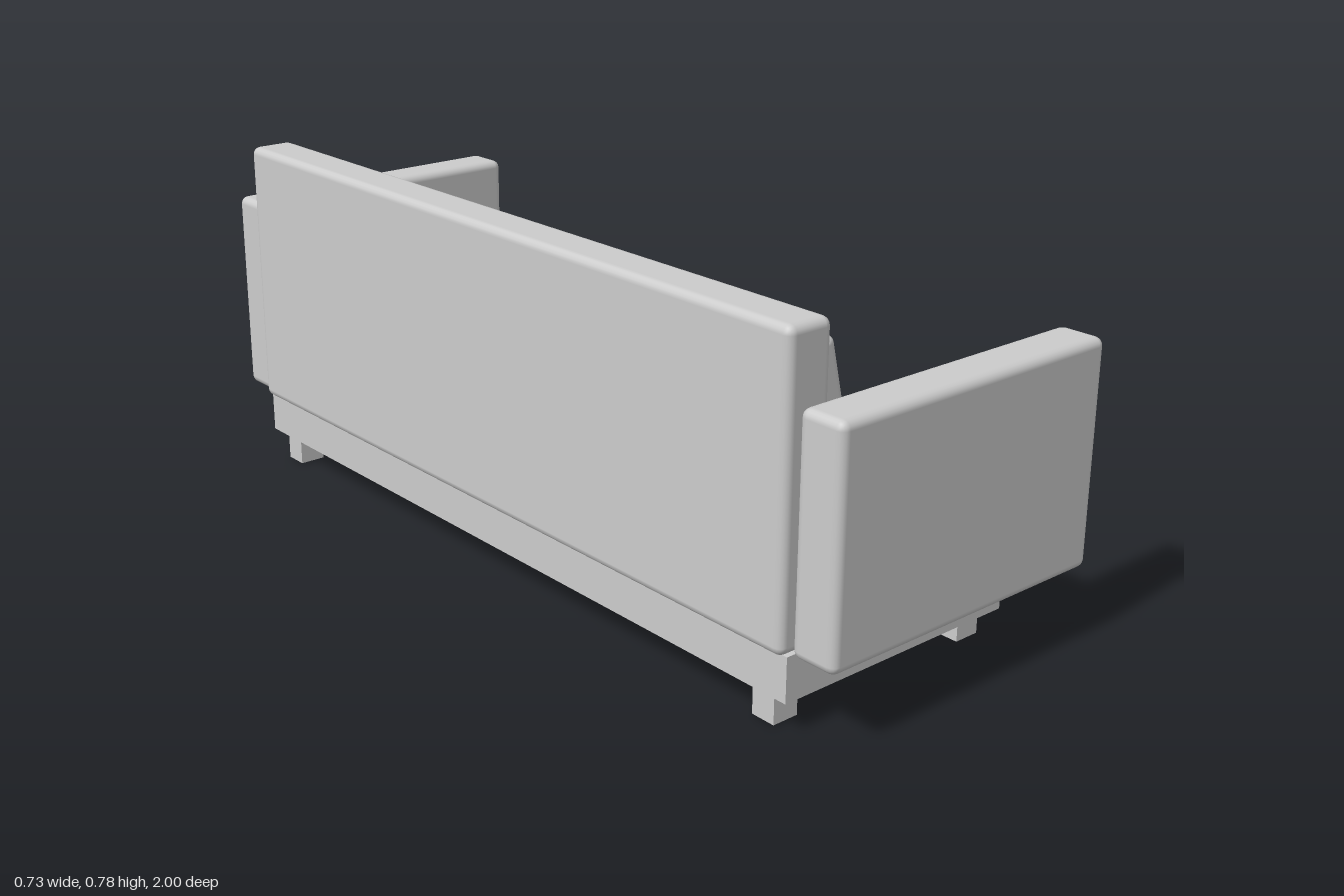
import * as THREE from 'three';
import { RoundedBoxGeometry } from 'three/addons/geometries/RoundedBoxGeometry.js';

const material = new THREE.MeshStandardMaterial({ color: 0xcccccc });

// Adds a box spanning [min, max] on each axis; radius 0 keeps the corners sharp.
function addBox(parent, name, [x0, x1], [y0, y1], [z0, z1], radius = 0) {
  const size = [x1 - x0, y1 - y0, z1 - z0];
  const geometry = radius
    ? new RoundedBoxGeometry(...size, 2, radius)
    : new THREE.BoxGeometry(...size);
  const mesh = new THREE.Mesh(geometry, material);
  mesh.name = name;
  mesh.position.set((x0 + x1) / 2, (y0 + y1) / 2, (z0 + z1) / 2);
  parent.add(mesh);
  return mesh;
}

export function createModel() {
  const sofa = new THREE.Group();
  sofa.name = 'sofa';

  // Base frame: sharp-edged rim around a slightly recessed underside
  const base = new THREE.Group();
  base.name = 'base';
  sofa.add(base);
  const bx0 = -0.348, bx1 = 0.245, bz = 0.89, rim = 0.012;
  const bottom = 0.066, recess = 0.085;
  addBox(base, 'basePlatform', [bx0, bx1], [recess, 0.16], [-bz, bz]);
  addBox(base, 'backRim', [bx0, bx0 + rim], [bottom, recess], [-bz, bz]);
  addBox(base, 'frontRim', [bx1 - rim, bx1], [bottom, recess], [-bz, bz]);
  for (const s of [-1, 1]) {
    const z = s * (bz - rim / 2);
    addBox(base, 'sideRim', [bx0 + rim, bx1 - rim], [bottom, recess], [z - rim / 2, z + rim / 2]);
  }

  // Four square legs
  for (const x of [-0.304, 0.202]) {
    for (const z of [-0.82, 0.82]) {
      addBox(sofa, 'leg', [x - 0.03, x + 0.03], [0, recess], [z - 0.028, z + 0.028]);
    }
  }

  // Backrest and the two arms
  addBox(sofa, 'backrest', [-0.366, -0.261], [0.16, 0.777], [-0.89, 0.89], 0.018);
  addBox(sofa, 'rightArm', [-0.346, 0.364], [0.16, 0.634], [-1, -0.895], 0.018);
  addBox(sofa, 'leftArm', [-0.346, 0.364], [0.16, 0.634], [0.895, 1], 0.018);

  // Three seat cushions
  for (const z of [-0.594, 0, 0.594]) {
    addBox(sofa, 'seatCushion', [-0.264, 0.3], [0.16, 0.366], [z - 0.295, z + 0.295], 0.02);
  }

  // Two square pillows leaning on the backrest, sunk into the seat
  for (const z of [-0.608, 0.622]) {
    const pillow = addBox(sofa, 'pillow', [-0.211, -0.149], [0.283, 0.718], [z - 0.217, z + 0.217], 0.016);
    pillow.rotation.z = THREE.MathUtils.degToRad(13.5);
  }

  return sofa;
}
